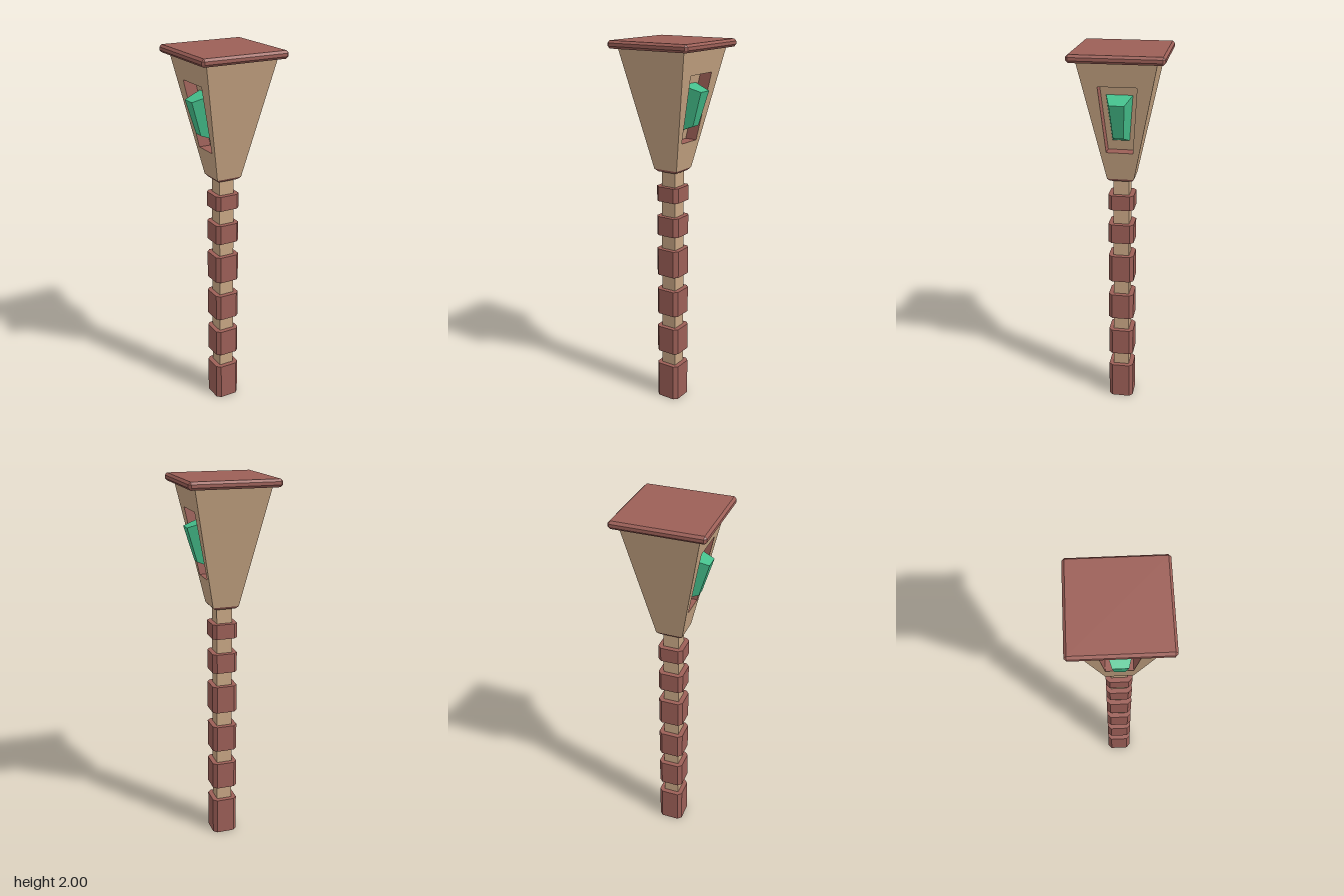
import * as THREE from 'three';
import { ConvexGeometry } from 'three/addons/geometries/ConvexGeometry.js';

const V = (x, y, z) => new THREE.Vector3(x, y, z);
const material = (color) => new THREE.MeshStandardMaterial({ color, flatShading: true });

// Head profile: half-width at a given height
const Y0 = 1.34, Y1 = 1.965, R0 = 0.07, R1 = 0.197;
const headHalf = (y) => R0 + (R1 - R0) * (y - Y0) / (Y1 - Y0);

// Square prism with only its upright edges chamfered
function bandGeometry(half, chamfer, y0, y1) {
  const a = half, b = half - chamfer, pts = [];
  for (const y of [y0, y1])
    for (const s of [-1, 1]) for (const t of [-1, 1])
      pts.push(V(s * a, y, t * b), V(s * b, y, t * a));
  return new ConvexGeometry(pts);
}

// Box with every edge chamfered
function chamferBox(hx, hy, hz, c) {
  const pts = [];
  for (const x of [-1, 1]) for (const y of [-1, 1]) for (const z of [-1, 1])
    pts.push(
      V(x * hx, y * (hy - c), z * (hz - c)),
      V(x * (hx - c), y * hy, z * (hz - c)),
      V(x * (hx - c), y * (hy - c), z * hz));
  return new ConvexGeometry(pts);
}

// Geometry from quads with corners counter-clockwise
function quadGeometry(quads) {
  const pts = quads.flatMap(([a, b, c, d]) => [a, b, c, a, c, d]);
  const g = new THREE.BufferGeometry().setFromPoints(pts);
  g.computeVertexNormals();
  return g;
}

// Four corners on the +x face, pushed inward by depth
const faceRing = (y0, w0, y1, w1, depth = 0) => [
  V(headHalf(y0) - depth, y0, w0), V(headHalf(y0) - depth, y0, -w0),
  V(headHalf(y1) - depth, y1, -w1), V(headHalf(y1) - depth, y1, w1)];

const bridge = (a, b) => a.map((p, i) => {
  const j = (i + 1) % 4;
  return [p, a[j], b[j], b[i]];
});

export function createModel() {
  const model = new THREE.Group();
  const tan = material(0xc8a684), red = material(0x9c5f57), green = material(0x45c08c);
  const add = (parent, name, geometry, mat) => {
    const mesh = new THREE.Mesh(geometry, mat);
    mesh.name = name;
    parent.add(mesh);
    return mesh;
  };

  // Square shaft and its bands
  add(model, 'shaft', new THREE.BoxGeometry(0.084, 1.33, 0.084).translate(0, 0.67, 0), tan);
  const bands = [[0, 0.205], [0.285, 0.435], [0.515, 0.66], [0.745, 0.895], [0.975, 1.08], [1.165, 1.245]];
  for (const [y0, y1] of bands) add(model, 'band', bandGeometry(0.068, 0.02, y0, y1), red);

  // Tapered collar under the head
  const collar = [];
  for (const [h, y] of [[0.056, 1.325], [R0, Y0]])
    for (const x of [-h, h]) for (const z of [-h, h]) collar.push(V(x, y, z));
  add(model, 'collar', new ConvexGeometry(collar), red);

  // Head panels: plain at front and back, recessed with a gem at the sides
  const outer = faceRing(Y0, R0, Y1, R1);
  const opening = faceRing(1.49, 0.068, 1.84, 0.097);
  const floor = faceRing(1.49, 0.068, 1.84, 0.097, 0.065);
  const gemPoints = [
    ...faceRing(1.54, 0.045, 1.788, 0.068, 0.07),
    V(0.14, 1.577, 0.026), V(0.14, 1.577, -0.026),
    V(0.194, 1.755, 0.038), V(0.194, 1.755, -0.038)];
  for (let i = 0; i < 4; i++) {
    const side = new THREE.Group();
    side.rotation.y = i * Math.PI / 2;
    model.add(side);
    if (i % 2) {
      side.name = 'plainSide';
      add(side, 'headPanel', quadGeometry([outer]), tan);
    } else {
      side.name = 'gemSide';
      add(side, 'headPanel', quadGeometry(bridge(outer, opening)), tan);
      add(side, 'recessWalls', quadGeometry(bridge(opening, floor)), red);
      add(side, 'recessFloor', quadGeometry([floor]), tan);
      add(side, 'gem', new ConvexGeometry(gemPoints), green);
    }
  }

  // Chamfered cap
  add(model, 'cap', chamferBox(0.237, 0.02, 0.237, 0.012).translate(0, 1.98, 0), red);
  return model;
}
